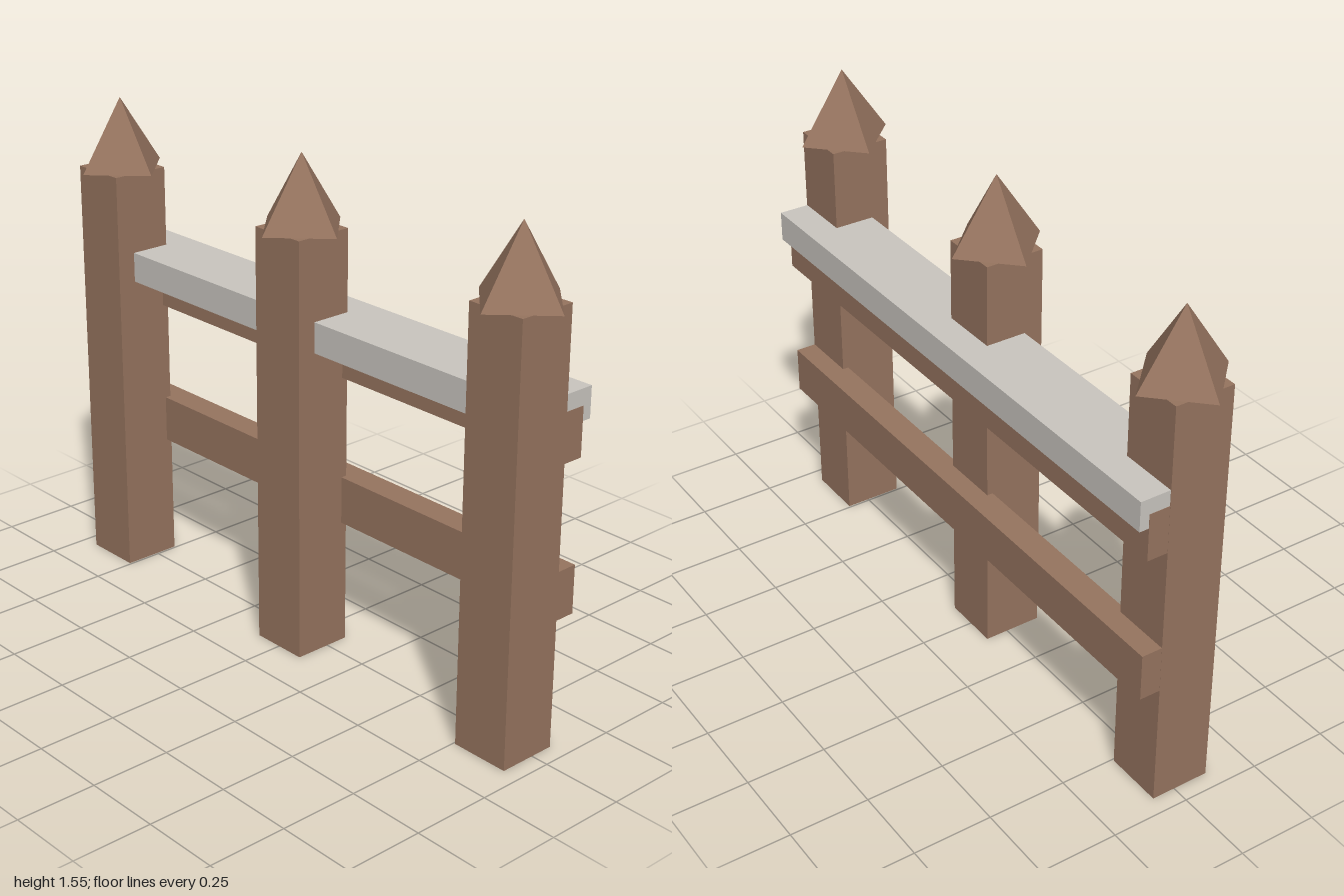
import * as THREE from 'three';

export function createModel() {
  const group = new THREE.Group();
  const wood = new THREE.MeshStandardMaterial({ color: 0x96745f });
  wood.name = 'brown wood';
  const stone = new THREE.MeshStandardMaterial({ color: 0xc9c5bf });
  stone.name = 'pale grey';

  const add = (name, geometry, material, x, y, z) => {
    const mesh = new THREE.Mesh(geometry, material);
    mesh.name = name;
    mesh.position.set(x, y, z);
    group.add(mesh);
  };

  // Square posts with four-sided pointed caps, corners facing the axes
  const postHeight = 1.325, capHeight = 0.222, postZ = 0.02;
  const postGeometry = new THREE.BoxGeometry(0.188, postHeight, 0.188);
  const capGeometry = new THREE.ConeGeometry(0.15, capHeight, 4).toNonIndexed();
  capGeometry.computeVertexNormals();
  [['right', -0.85], ['middle', 0], ['left', 0.85]].forEach(([side, x]) => {
    add(side + 'Post', postGeometry, wood, x, postHeight / 2, postZ);
    add(side + 'Cap', capGeometry, wood, x, postHeight + capHeight / 2, postZ);
  });

  // Two rails fixed across the backs of the posts
  const railGeometry = new THREE.BoxGeometry(1.887, 0.15, 0.085);
  add('lowerRail', railGeometry, wood, 0, 0.475, -0.0975);
  add('upperRail', railGeometry, wood, 0, 0.945, -0.0975);

  // Pale ledge resting over the upper rail
  add('ledge', new THREE.BoxGeometry(1.885, 0.095, 0.225), stone, 0, 1.0225, -0.0575);

  return group;
}
